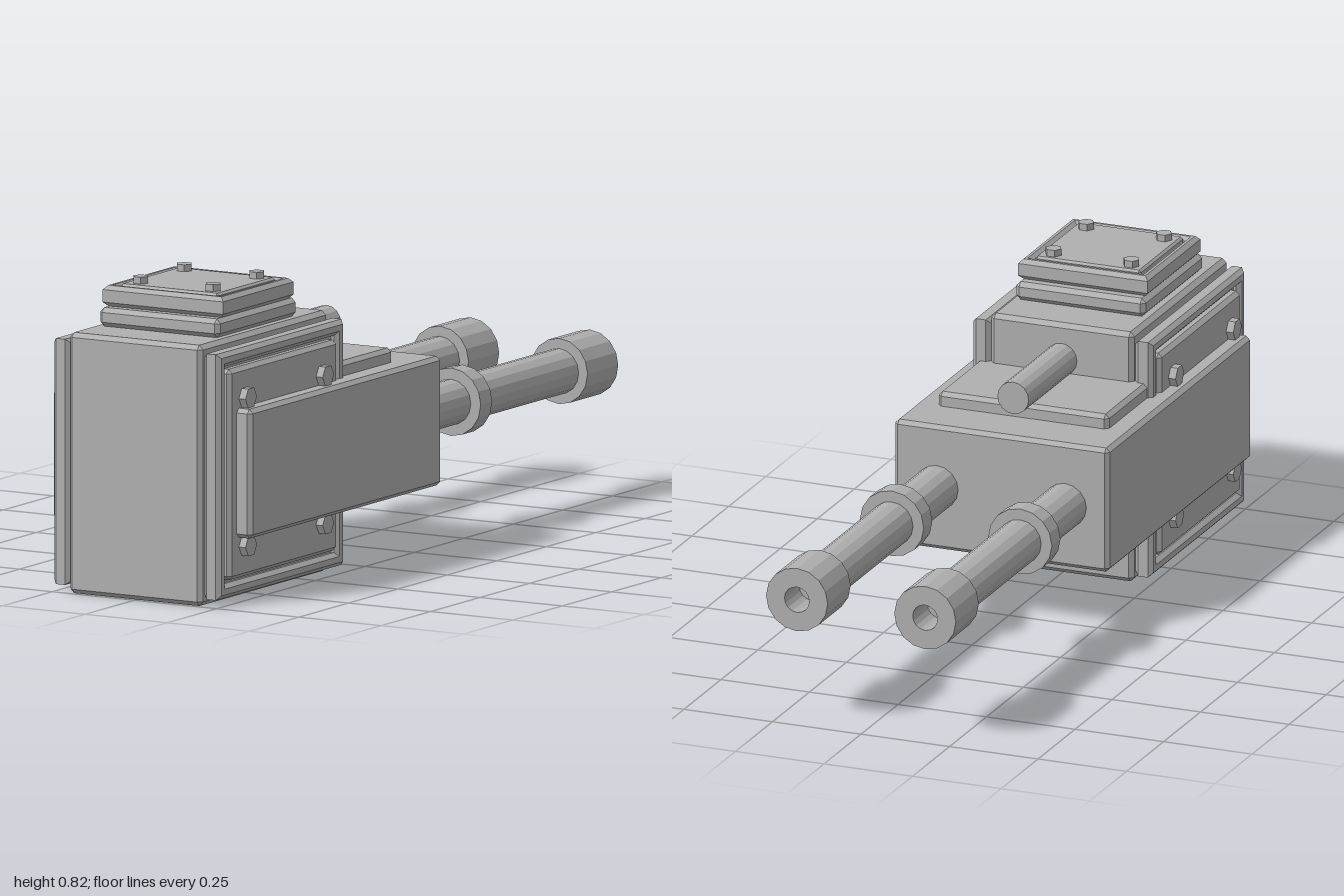
import * as THREE from 'three';
import { ConvexGeometry } from 'three/addons/geometries/ConvexGeometry.js';

const metal = new THREE.MeshStandardMaterial({ color: 0xb0b0b0, flatShading: true });
metal.name = 'grey metal';

// Box between two corners with every edge chamfered by c
function chamferBox([x0, y0, z0], [x1, y1, z1], c) {
  const h = [(x1 - x0) / 2, (y1 - y0) / 2, (z1 - z0) / 2];
  const points = [];
  for (const sx of [-1, 1]) for (const sy of [-1, 1]) for (const sz of [-1, 1])
    for (let full = 0; full < 3; full++) {
      const p = [sx, sy, sz].map((s, i) => s * (h[i] - (i === full ? 0 : c)));
      points.push(new THREE.Vector3(...p));
    }
  return new ConvexGeometry(points).translate((x0 + x1) / 2, (y0 + y1) / 2, (z0 + z1) / 2);
}

// Chamfered rectangular frame, w by h, lying in xy with its back at z = 0
function frameGeometry(w, h, depth, border, c) {
  const rect = (T, a, b) => new T([[-a, -b], [a, -b], [a, b], [-a, b]].map(p => new THREE.Vector2(...p)));
  const shape = rect(THREE.Shape, w / 2 - c, h / 2 - c);
  shape.holes.push(rect(THREE.Path, w / 2 - border + c, h / 2 - border + c));
  return new THREE.ExtrudeGeometry(shape, {
    depth: depth - 2 * c, bevelThickness: c, bevelSize: c, bevelSegments: 1,
  }).translate(0, 0, c);
}

export function createModel() {
  const model = new THREE.Group();
  model.name = 'twinBarrelTurret';
  const add = (name, geometry, parent = model) => {
    const mesh = new THREE.Mesh(geometry, metal);
    mesh.name = name;
    parent.add(mesh);
    return mesh;
  };

  // Housing and the long receiver that passes through it
  add('housing', chamferBox([-0.202, 0, 0.355], [0.202, 0.69, 1], 0.012));
  add('receiver', chamferBox([-0.303, 0.175, -0.053], [0.303, 0.517, 0.915], 0.011));

  // Side armour: grooved frame, raised panel and hex bolts
  for (const s of [-1, 1]) {
    const side = new THREE.Group();
    side.name = s > 0 ? 'leftArmour' : 'rightArmour';
    const span = (a, b) => (s > 0 ? [a, b] : [-b, -a]);
    const slab = (name, a, b, y0, y1, z0, z1, c) => {
      const [x0, x1] = span(a, b);
      add(name, chamferBox([x0, y0, z0], [x1, y1, z1], c), side);
    };
    const frame = add('armourFrame', frameGeometry(0.635, 0.65, 0.05, 0.038, 0.011), side);
    frame.rotation.y = s * Math.PI / 2;
    frame.position.set(s * 0.204, 0.345, 0.6755);
    slab('armourBacking', 0.19, 0.235, 0.04, 0.65, 0.375, 0.975, 0.002);
    slab('armourPanel', 0.21, 0.26, 0.066, 0.624, 0.402, 0.949, 0.011);
    for (const y of [0.15, 0.542]) for (const z of [0.485, 0.875]) {
      const bolt = add('armourBolt', new THREE.CylinderGeometry(0.029, 0.029, 0.04, 6), side);
      bolt.rotation.z = Math.PI / 2;
      bolt.position.set(s * 0.26, y, z);
    }
    model.add(side);
  }

  // Hatch on the roof: two tiers, inset lid and four bolts
  const hatch = new THREE.Group();
  hatch.name = 'hatch';
  add('hatchBase', chamferBox([-0.183, 0.69, 0.477], [0.183, 0.74, 0.88], 0.012), hatch);
  add('hatchCore', chamferBox([-0.17, 0.73, 0.515], [0.17, 0.78, 0.84], 0.002), hatch);
  const rim = add('hatchRim', frameGeometry(0.366, 0.357, 0.055, 0.03, 0.011), hatch);
  rim.rotation.x = -Math.PI / 2;
  rim.position.set(0, 0.74, 0.6785);
  add('hatchLid', chamferBox([-0.149, 0.76, 0.532], [0.149, 0.798, 0.825], 0.006), hatch);
  for (const x of [-0.11, 0.11]) for (const z of [0.565, 0.785])
    add('hatchBolt', new THREE.CylinderGeometry(0.022, 0.022, 0.03, 6).rotateY(Math.PI / 2), hatch)
      .position.set(x, 0.801, z);
  model.add(hatch);

  // Mount plate and sight tube on top of the receiver
  add('sightMount', chamferBox([-0.241, 0.505, 0.092], [0.241, 0.555, 0.38], 0.011));
  const sight = add('sightTube', new THREE.CylinderGeometry(0.044, 0.044, 0.36, 16));
  sight.rotation.x = Math.PI / 2;
  sight.position.set(0, 0.592, 0.208);

  // Twin barrels: shaft, collar and bored muzzle in one turned profile
  const profile = [
    [0, 0], [0.06, 0], [0.06, 0.35], [0.09, 0.35], [0.09, 0.408], [0.06, 0.408],
    [0.06, 0.895], [0.087, 0.895], [0.087, 1.05], [0.035, 1.05], [0.035, 0.95], [0, 0.95],
  ].map(p => new THREE.Vector2(...p));
  for (const s of [-1, 1]) {
    const barrel = add(s > 0 ? 'leftBarrel' : 'rightBarrel', new THREE.LatheGeometry(profile, 16));
    barrel.rotation.x = -Math.PI / 2;
    barrel.position.set(s * 0.181, 0.347, 0.05);
  }
  return model;
}
